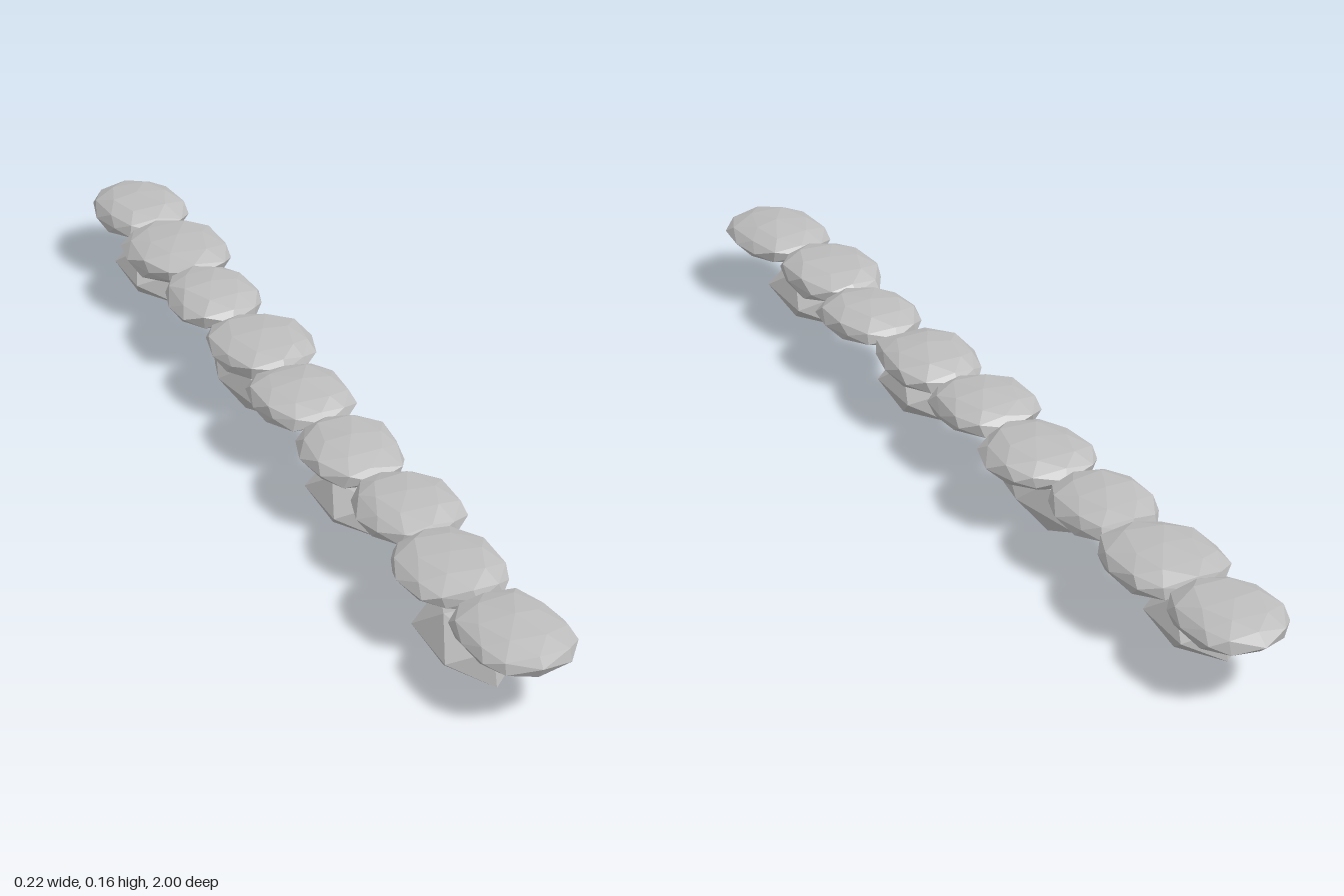
import * as THREE from 'three';

// Small repeatable noise in -1..1, keyed on a corner so shared corners move together
function noise(seed, x, y, z, k) {
  const s = Math.sin(seed * 12.99 + x * 78.23 + y * 37.72 + z * 51.14 + k * 9.17) * 43758.5453;
  return (s - Math.floor(s)) * 2 - 1;
}

// Faceted stone, squared off and jittered, then fitted to the given [min, max] ranges.
// power < 1 makes the outline blunter, taper narrows the upper half along z.
function stoneGeometry({ detail, seed, jitter, xr, yr, zr, turn = 0, power = 1, taper = 0 }) {
  const geo = new THREE.IcosahedronGeometry(1, detail);
  geo.rotateY(turn);
  const pos = geo.attributes.position;
  const blunt = (v) => Math.sign(v) * Math.abs(v) ** power;
  for (let i = 0; i < pos.count; i++) {
    const p = [pos.getX(i), pos.getY(i), pos.getZ(i)];
    const key = p.map((v) => Math.round(v * 100) / 100 + 0);
    const shaped = [blunt(p[0]), p[1], blunt(p[2]) * (1 - taper * p[1])];
    pos.setXYZ(i, ...shaped.map((v, k) => v + jitter * noise(seed, ...key, k)));
  }
  geo.computeBoundingBox();
  const { min, max } = geo.boundingBox;
  const fit = (v, lo, hi, r) => r[0] + ((v - lo) / (hi - lo)) * (r[1] - r[0]);
  for (let i = 0; i < pos.count; i++) {
    pos.setXYZ(i,
      fit(pos.getX(i), min.x, max.x, xr),
      fit(pos.getY(i), min.y, max.y, yr),
      fit(pos.getZ(i), min.z, max.z, zr));
  }
  geo.computeVertexNormals();
  return geo;
}

export function createModel() {
  const group = new THREE.Group();
  group.name = 'stonePath';
  const stone = new THREE.MeshStandardMaterial({ color: 0xbcbcbc, flatShading: true });
  stone.name = 'grey stone';

  const add = (name, options) => {
    const mesh = new THREE.Mesh(stoneGeometry(options), stone);
    mesh.name = name;
    group.add(mesh);
  };

  // Row of flat cap stones, back to front: x min, x max, z min, z max
  const caps = [
    [-0.10, 0.09, -1.0, -0.77],
    [-0.11, 0.10, -0.785, -0.55],
    [-0.105, 0.085, -0.56, -0.335],
    [-0.10, 0.108, -0.345, -0.11],
    [-0.105, 0.085, -0.115, 0.105],
    [-0.10, 0.09, 0.095, 0.335],
    [-0.09, 0.105, 0.32, 0.55],
    [-0.11, 0.085, 0.535, 0.77],
    [-0.09, 0.10, 0.76, 1.0],
  ];
  caps.forEach(([x0, x1, z0, z1], i) => {
    add(`capStone${i + 1}`, {
      detail: 1, seed: i + 1, jitter: 0.06, power: 0.85,
      xr: [x0, x1], yr: [0.09, 0.163], zr: [z0, z1],
    });
  });

  // Coarser supporting stones: x min, x max, z min, z max, turn, taper
  const supports = [
    [-0.085, 0.05, -0.865, -0.64, 0, 0.12],
    [-0.075, 0.05, -0.40, -0.10, 0.5, 0],
    [-0.08, 0.055, 0.135, 0.36, 0, 0.08],
    [-0.09, 0.057, 0.62, 0.87, 0, 0.12],
  ];
  supports.forEach(([x0, x1, z0, z1, turn, taper], i) => {
    add(`supportStone${i + 1}`, {
      detail: 0, seed: i + 21, jitter: 0.025, turn, taper,
      xr: [x0, x1], yr: [i === 3 ? 0 : 0.006, 0.1], zr: [z0, z1],
    });
  });

  return group;
}
